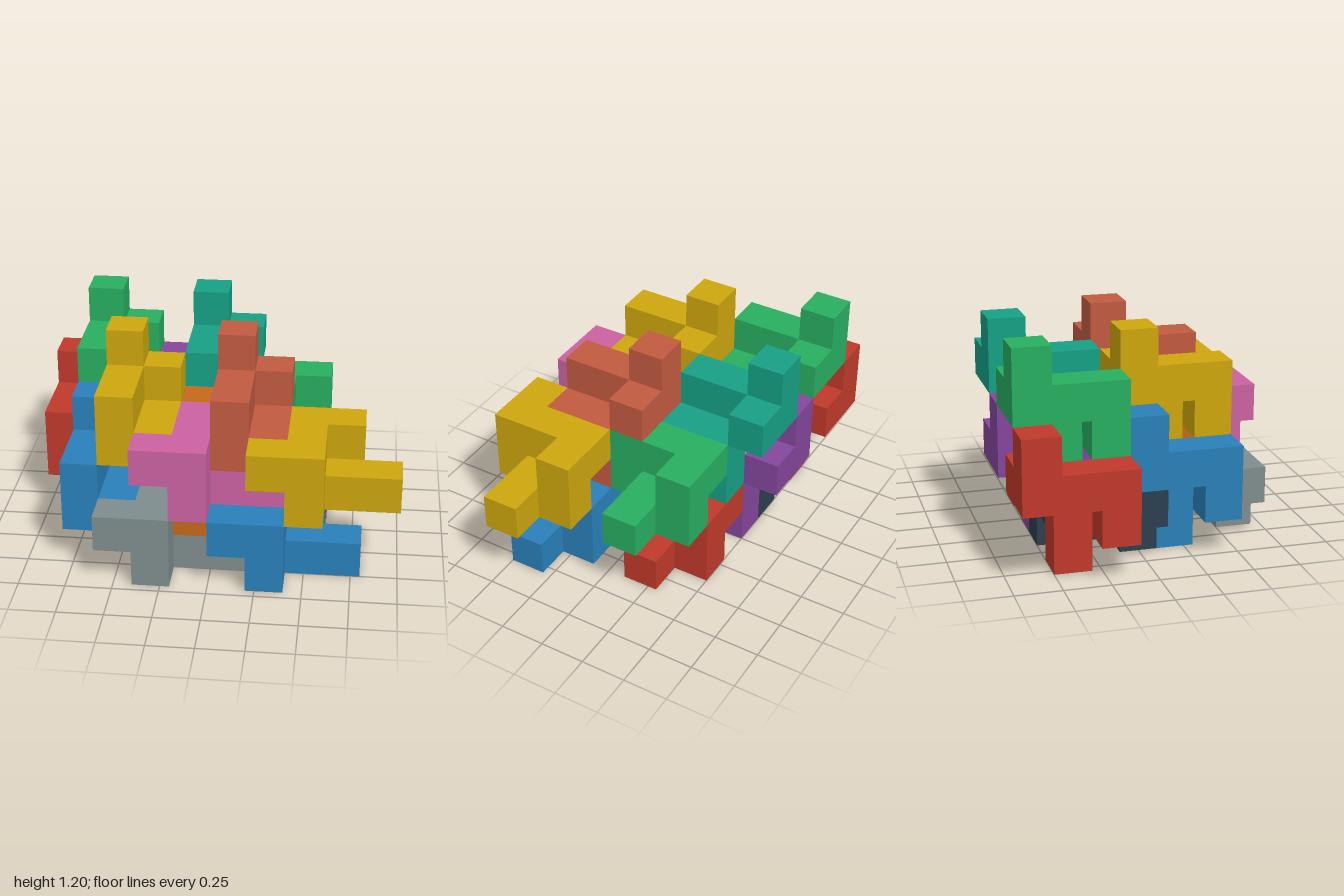
import * as THREE from 'three';
import { mergeGeometries } from 'three/addons/utils/BufferGeometryUtils.js';

const UNIT = 0.2;

// One nine-cube piece, in cells relative to its three-way corner cube
const UPRIGHT = [
  [0, 0, 0], [0, 1, 0], [1, 0, 0], // corner with two stubs
  [0, 0, 1], [0, 0, 2],            // straight arm
  [0, -1, 2], [1, -1, 2], [1, -1, 1], [1, -2, 1], // hooked tail
];
// The same piece given a half turn
const TURNED = UPRIGHT.map(([x, y, z]) => [-y, -x, -z]);

const DIRECTIONS = [[1, 0, 0], [-1, 0, 0], [0, 1, 0], [0, -1, 0], [0, 0, 1], [0, 0, -1]];

// Outer skin of a piece: a square on every cube side with no cube of the piece behind it
function pieceGeometry(cells) {
  const filled = new Set(cells.map(String));
  const faces = [];
  for (const [x, y, z] of cells) {
    for (const [dx, dy, dz] of DIRECTIONS) {
      if (filled.has(String([x + dx, y + dy, z + dz]))) continue;
      const face = new THREE.PlaneGeometry(UNIT, UNIT);
      face.lookAt(new THREE.Vector3(dx, dy, dz));
      face.translate((x + dx / 2) * UNIT, (y + dy / 2) * UNIT, (z + dz / 2) * UNIT);
      faces.push(face);
    }
  }
  return mergeGeometries(faces);
}

// name, colour, corner cube cell [x, y, z]
const UPRIGHT_PIECES = [
  ['salmonUprightPiece', 0xc15a40, [5, 4, 3]],
  ['yellowUprightPiece', 0xcda60c, [2, 4, 3]],
  ['tealUprightPiece', 0x16a085, [4, 4, 0]],
  ['greenUprightPiece', 0x27ae60, [1, 4, 0]],
  ['orangeUprightPiece', 0xc5691b, [4, 2, 3]],
  ['blueUprightPiece', 0x2980b9, [1, 2, 3]],
  ['purpleUprightPiece', 0x84469c, [3, 2, 0]],
  ['redUprightPiece', 0xc0392b, [0, 2, 0]],
];
const TURNED_PIECES = [
  ['yellowTurnedPiece', 0xcda60c, [7, 3, 6]],
  ['pinkTurnedPiece', 0xcb62a2, [4, 3, 6]],
  ['greenTurnedPiece', 0x27ae60, [6, 3, 3]],
  ['limeTurnedPiece', 0xa3cb38, [3, 3, 3]],
  ['blueTurnedPiece', 0x2980b9, [6, 1, 6]],
  ['greyTurnedPiece', 0x7f8c8d, [3, 1, 6]],
  ['redTurnedPiece', 0xc0392b, [5, 1, 3]],
  ['navyTurnedPiece', 0x2c3e50, [2, 1, 3]],
];

export function createModel() {
  const model = new THREE.Group();
  model.name = 'interlockingCubePieces';

  for (const [cells, pieces] of [[UPRIGHT, UPRIGHT_PIECES], [TURNED, TURNED_PIECES]]) {
    const geometry = pieceGeometry(cells);
    for (const [name, color, [x, y, z]] of pieces) {
      const piece = new THREE.Mesh(geometry, new THREE.MeshStandardMaterial({ color }));
      piece.name = name;
      piece.position.set((x - 4.5) * UNIT, (y + 0.5) * UNIT, (z - 3) * UNIT);
      model.add(piece);
    }
  }
  return model;
}
